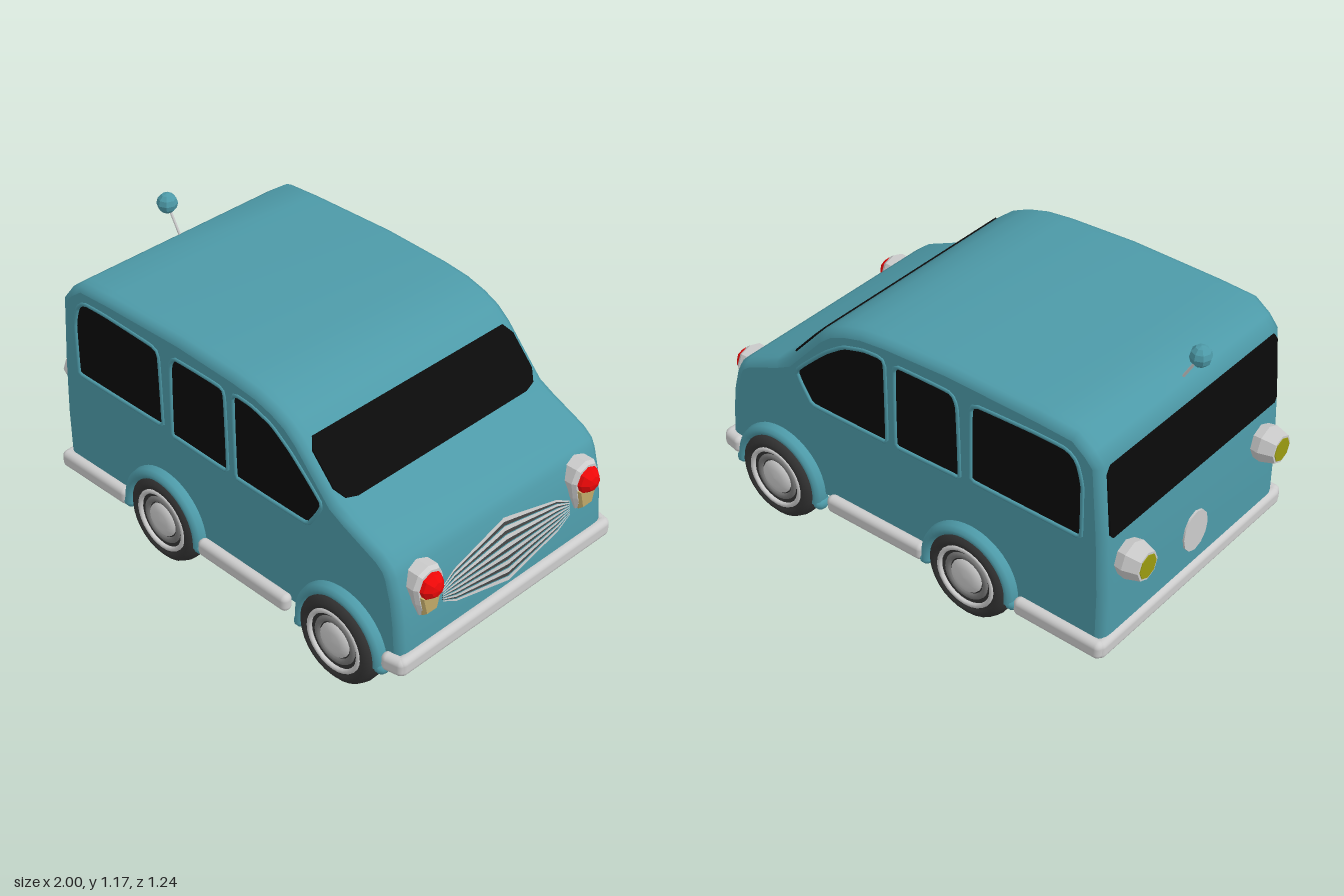
import * as THREE from 'three';
import { RoundedBoxGeometry } from 'three/addons/geometries/RoundedBoxGeometry.js';

const mat = (color, flatShading = false, side = THREE.FrontSide) =>
  new THREE.MeshStandardMaterial({ color, flatShading, side });
const V2 = (p) => new THREE.Vector2(p[0], p[1]);

export function createModel() {
  const van = new THREE.Group();
  const paint = mat(0x4d9aa8, false, THREE.DoubleSide);
  const glass = mat(0x0a0a0a, false, THREE.DoubleSide);
  const grey = mat(0xcccccc), greyFlat = mat(0xcccccc, true);
  const rubber = mat(0x333333), steel = mat(0x777777);
  const red = mat(0xee0808, true), tan = mat(0xc0a868, true), yellow = mat(0x9a9a10, true);

  function add(name, geometry, material, x = 0, y = 0, z = 0, parent = van) {
    const m = new THREE.Mesh(geometry, material);
    m.name = name;
    m.position.set(x, y, z);
    parent.add(m);
    return m;
  }

  // Side profile, from rear bottom over the roof to front bottom
  const profile = [[-0.905, 0.13], [-0.908, 0.4], [-0.897, 0.65], [-0.873, 0.955], [-0.83, 1.01],
    [-0.76, 1.06], [-0.6, 1.07], [-0.2, 1.08], [0.1, 1.068], [0.22, 1.055], [0.31, 1.03],
    [0.38, 0.998], [0.44, 0.95], [0.61, 0.765], [0.67, 0.735], [0.83, 0.665], [0.875, 0.63],
    [0.895, 0.59], [0.92, 0.5], [0.935, 0.4], [0.945, 0.28], [0.945, 0.2]].map(V2);

  // Profile moved inwards, for the rounded edge between skin and sides
  const inset = (d) => profile.map((p, i) => {
    const a = profile[Math.max(i - 1, 0)], b = profile[Math.min(i + 1, profile.length - 1)];
    const t = b.clone().sub(a).normalize();
    const end = i === 0 || i === profile.length - 1;
    return new THREE.Vector2(p.x + t.y * d, end ? p.y : p.y - t.x * d);
  });

  // Roof, front and rear skin, open underneath
  const stations = [[-0.56, 0.034], [-0.552, 0.012], [-0.53, 0.002], [-0.5, 0],
    [0.5, 0], [0.53, 0.002], [0.552, 0.012], [0.56, 0.034]];
  const pos = [], idx = [], n = profile.length;
  for (const [z, d] of stations) for (const p of inset(d)) pos.push(p.x, p.y, z);
  for (let s = 0; s < stations.length - 1; s++) {
    for (let i = 0; i < n - 1; i++) {
      const a = s * n + i, b = a + 1, c = a + n, d = c + 1;
      idx.push(a, c, b, b, c, d);
    }
  }
  const skin = new THREE.BufferGeometry();
  skin.setAttribute('position', new THREE.Float32BufferAttribute(pos, 3));
  skin.setIndex(idx);
  skin.computeVertexNormals();
  add('bodySkin', skin, paint);

  // Side window outlines
  const windows = [
    [[-0.8, 0.64], [-0.8, 0.86], [-0.775, 0.95], [-0.73, 0.985], [-0.6, 0.99], [-0.34, 0.982],
      [-0.305, 0.95], [-0.3, 0.67], [-0.32, 0.635], [-0.77, 0.63]],
    [[-0.25, 0.63], [-0.243, 0.93], [-0.21, 0.985], [0.03, 0.985], [0.055, 0.95], [0.06, 0.64],
      [0.04, 0.615], [-0.22, 0.62]],
    [[0.1, 0.63], [0.097, 0.965], [0.125, 0.99], [0.2, 0.985], [0.3, 0.955], [0.4, 0.885],
      [0.55, 0.74], [0.5, 0.64], [0.465, 0.612], [0.13, 0.612]],
  ].map((pts) => new THREE.CatmullRomCurve3(
    pts.map(([x, y]) => new THREE.Vector3(x, y, 0)), true, 'catmullrom', 0.2));
  const outlines = windows.map((c) => c.getPoints(60).slice(0, -1).map((p) => new THREE.Vector2(p.x, p.y)));

  // Side wall with wheel arches and window openings
  const wheelX = [-0.3, 0.66], axleY = 0.2;
  const wall = new THREE.Shape(inset(0.034));
  wall.absarc(wheelX[1], axleY, 0.2, 0, Math.PI, false);
  wall.absarc(wheelX[0], axleY, 0.2, 0, Math.PI, false);
  wall.lineTo(-0.52, 0.14);
  outlines.forEach((o) => wall.holes.push(new THREE.Path(o)));
  const wallGeo = new THREE.ShapeGeometry(wall, 20);

  const tyreGeo = new THREE.LatheGeometry([[0, -0.07], [0.12, -0.072], [0.172, -0.06], [0.19, -0.03],
    [0.191, 0.02], [0.18, 0.05], [0.16, 0.065], [0.142, 0.066], [0.13, 0.05], [0, 0.045]].map(V2), 28);
  const hubGeo = new THREE.LatheGeometry([[0.075, 0.04], [0.07, 0.056], [0.04, 0.066], [0, 0.068]].map(V2), 20);

  for (const s of [1, -1]) {
    const side = s > 0 ? 'left' : 'right';
    add(side + 'Wall', wallGeo, paint, 0, 0, 0.56 * s);
    windows.forEach((curve, i) => {
      add(side + 'Window', new THREE.ShapeGeometry(new THREE.Shape(outlines[i])), glass, 0, 0, 0.556 * s);
      add(side + 'WindowFrame', new THREE.TubeGeometry(curve, 60, 0.009, 6, true), paint, 0, 0, 0.558 * s);
    });

    wheelX.forEach((x, i) => {
      // Fender lip over the wheel
      const a0 = i ? -0.05 : -0.12, a1 = Math.PI + (i ? 0.22 : 0.12);
      const lip = new THREE.TorusGeometry(0.199, 0.025, 10, 28, a1 - a0);
      const fender = add(side + 'Fender', lip, paint, x, axleY, 0.568 * s);
      fender.rotation.z = a0;
      fender.scale.z = 1.5;
      for (const a of [a0, a1]) {
        const tip = add(side + 'FenderTip', new THREE.SphereGeometry(0.029, 10, 8), paint,
          x + 0.208 * Math.cos(a), axleY + 0.208 * Math.sin(a), 0.568 * s);
        tip.scale.z = 1.25;
      }
      // Wheel
      const wheel = new THREE.Group();
      wheel.name = side + (i ? 'FrontWheel' : 'RearWheel');
      wheel.position.set(x, axleY, (i ? 0.552 : 0.538) * s);
      wheel.rotation.x = s * Math.PI / 2;
      add('tyre', tyreGeo, rubber, 0, 0, 0, wheel);
      for (const [r, t, m, y] of [[0.126, 0.01, grey, 0.056], [0.09, 0.014, steel, 0.045]]) {
        add('rimRing', new THREE.TorusGeometry(r, t, 8, 28), m, 0, y, 0, wheel).rotation.x = Math.PI / 2;
      }
      add('hubCap', hubGeo, grey, 0, 0, 0, wheel);
      van.add(wheel);
    });

    // Sill and bumper ends
    add(side + 'Sill', new RoundedBoxGeometry(0.49, 0.075, 0.05, 3, 0.024), grey, 0.155, 0.195, 0.58 * s);
    const rearEnd = add(side + 'RearBumperEnd', new RoundedBoxGeometry(0.4, 0.075, 0.05, 3, 0.024),
      grey, -0.72, 0.175, 0.573 * s);
    rearEnd.rotation.z = 0.02;
    const frontEnd = add(side + 'FrontBumperEnd', new RoundedBoxGeometry(0.1, 0.075, 0.05, 3, 0.024),
      grey, 0.922, 0.235, 0.566 * s);
    frontEnd.rotation.y = s * 0.2;

    // Headlight: teardrop housing, red lens, tan indicator below
    const z = 0.427 * s;
    const plate = (pts, depth) => new THREE.ExtrudeGeometry(new THREE.Shape(pts.map(V2)),
      { depth, bevelEnabled: true, bevelSize: 0.01, bevelOffset: -0.01, bevelThickness: 0.015, bevelSegments: 1 })
      .rotateY(Math.PI / 2);
    add(side + 'HeadlightHousing', plate([[-0.037, 0.41], [0.037, 0.41], [0.058, 0.47], [0.074, 0.545],
      [0.05, 0.597], [0, 0.613], [-0.05, 0.597], [-0.074, 0.545], [-0.058, 0.47]], 0.055), greyFlat, 0.885, 0, z);
    add(side + 'Indicator', plate([[-0.033, 0.415], [0.033, 0.415], [0.055, 0.51], [-0.055, 0.51]], 0.03),
      tan, 0.922, 0, z);
    add(side + 'HeadlightLens', new THREE.SphereGeometry(0.061, 8, 6).rotateZ(Math.PI / 2), red, 0.939, 0.537, z);

    // Tail light
    const tail = new THREE.LatheGeometry([[0.05, -0.03], [0.07, 0], [0.077, 0.04], [0.06, 0.1], [0, 0.1]].map(V2), 8);
    add(side + 'TailLightHousing', tail.rotateZ(Math.PI / 2), greyFlat, -0.897, 0.52, 0.43 * s);
    add(side + 'TailLightLens', new THREE.CylinderGeometry(0.05, 0.05, 0.008, 8).rotateZ(Math.PI / 2),
      yellow, -0.996, 0.52, 0.43 * s);
  }

  // Windscreen and rear window, thin panes set through the skin
  function pane(name, low, high, out, pts) {
    const up = new THREE.Vector3(high[0] - low[0], high[1] - low[1], 0);
    const h = up.length();
    up.normalize();
    const across = new THREE.Vector3(0, 0, -out);
    const normal = across.clone().cross(up);
    const shape = new THREE.Shape(pts.map(([u, v]) => new THREE.Vector2(u, v * h)));
    const g = new THREE.ExtrudeGeometry(shape, { depth: 0.012, bevelEnabled: false });
    g.translate(0, 0, -0.006).applyMatrix4(new THREE.Matrix4().makeBasis(across, up, normal));
    add(name, g, glass, low[0], low[1], 0);
  }
  pane('windscreen', [0.618, 0.756], [0.44, 0.95], 1, [[-0.45, 0], [0.45, 0], [0.5, 0.06], [0.528, 0.25],
    [0.528, 0.82], [0.5, 1], [-0.5, 1], [-0.528, 0.82], [-0.528, 0.25], [-0.5, 0.06]]);
  pane('rearWindow', [-0.897, 0.65], [-0.873, 0.955], -1, [[-0.51, 0], [0.51, 0], [0.525, 0.06],
    [0.525, 0.9], [0.505, 1], [-0.505, 1], [-0.525, 0.9], [-0.525, 0.06]]);

  // Bumpers
  add('frontBumper', new RoundedBoxGeometry(0.05, 0.077, 1.16, 3, 0.024), grey, 0.95, 0.235, 0);
  add('rearBumper', new RoundedBoxGeometry(0.05, 0.075, 1.17, 3, 0.024), grey, -0.9, 0.168, 0);

  // Grille: fan of alternating bars, tallest at the middle
  const cols = [[-0.35, 0.03], [-0.28, 0.068], [0, 0.134], [0.28, 0.068], [0.35, 0.03]];
  const bars = 15;
  const frontX = (y) => 0.954 - Math.max(0, y - 0.3) * 0.1 - Math.max(0, y - 0.46) * 0.14;
  for (let b = 0; b < bars; b++) {
    const p = [], f = [], light = b % 2 === 0;
    cols.forEach(([z, h], i) => {
      for (const k of [b, b + 1]) {
        const y = 0.44 + h * (2 * k / bars - 1);
        p.push(frontX(y) + (light ? 0.006 : 0.002), y, -z);
      }
      const a = 2 * i;
      if (i < cols.length - 1) f.push(a, a + 2, a + 1, a + 1, a + 2, a + 3);
    });
    const g = new THREE.BufferGeometry();
    g.setAttribute('position', new THREE.Float32BufferAttribute(p, 3));
    g.setIndex(f);
    g.computeVertexNormals();
    add('grilleBar', g, mat(light ? 0xcccccc : 0x444444, false, THREE.DoubleSide));
  }

  // Round plate on the tail
  const badge = add('rearPlate', new THREE.CylinderGeometry(0.09, 0.09, 0.014, 12).rotateZ(Math.PI / 2),
    grey, -0.908, 0.36, 0);
  badge.scale.z = 0.85;

  // Aerial with ball
  const rod = add('aerialRod', new THREE.CylinderGeometry(0.006, 0.006, 0.17, 6), grey, -0.845, 1.065, 0);
  rod.rotation.z = 0.53;
  add('aerialBall', new THREE.SphereGeometry(0.043, 8, 6), mat(0x4d9aa8, true), -0.885, 1.135, 0);

  return van;
}
